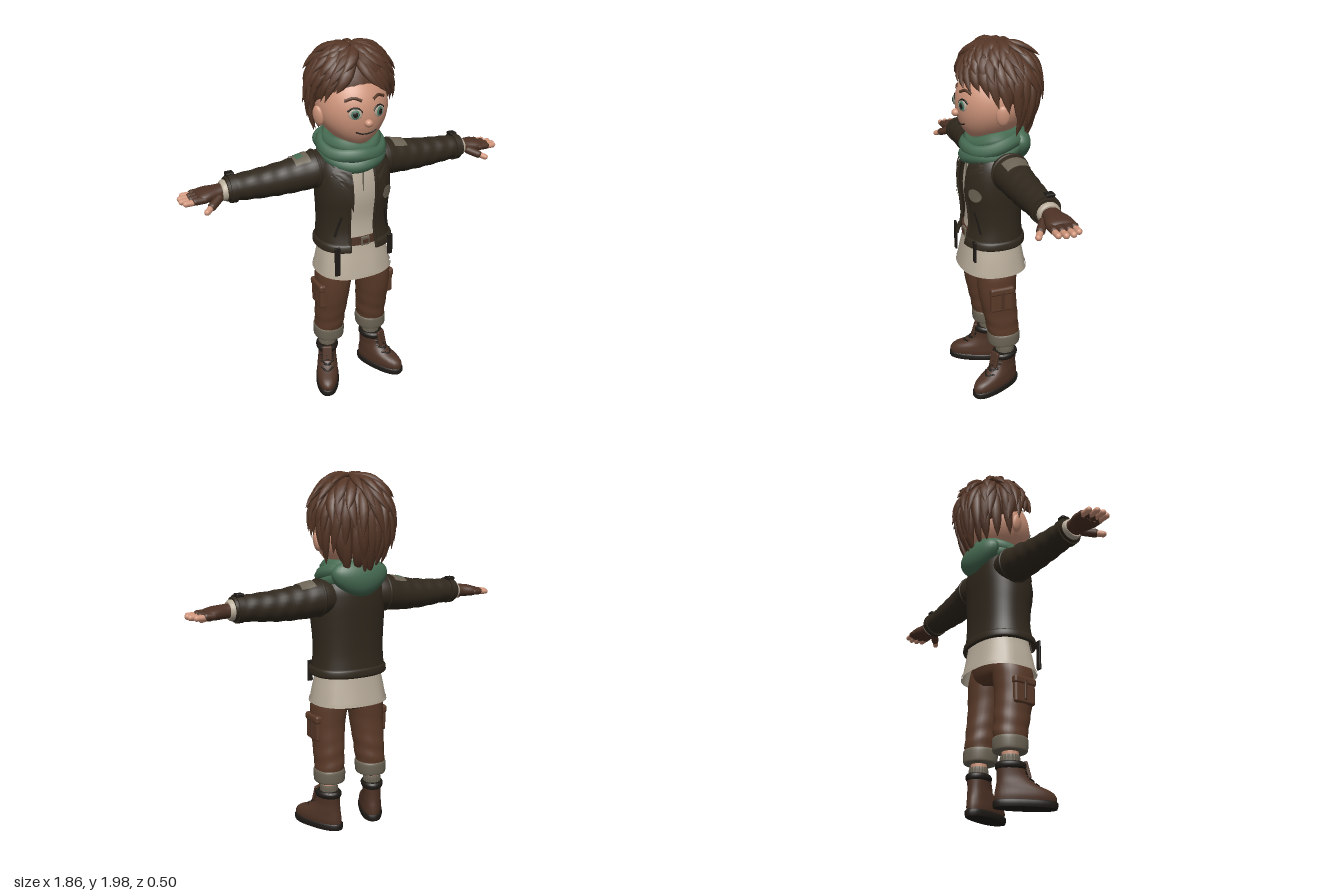
import * as THREE from 'three';
import { mergeGeometries } from 'three/addons/utils/BufferGeometryUtils.js';
import { RoundedBoxGeometry } from 'three/addons/geometries/RoundedBoxGeometry.js';

const V = (x, y, z) => new THREE.Vector3(x, y, z), TAU = Math.PI * 2;
const mat = (name, color, side = THREE.FrontSide) => Object.assign(new THREE.MeshStandardMaterial({ color, side }), { name });

// Surface through rows of points
function surface(rows, closed) {
  const cols = rows[0].length, idx = [];
  for (let j = 0; j < rows.length - 1; j++)
    for (let i = 0; i < (closed ? cols : cols - 1); i++) {
      const a = j * cols + i, b = j * cols + (i + 1) % cols;
      idx.push(a, b, b + cols, a, b + cols, a + cols);
    }
  const g = new THREE.BufferGeometry().setFromPoints(rows.flat());
  g.setIndex(idx);
  g.computeVertexNormals();
  return g;
}
// Rings are [height, centreX, centreZ, radiusX, radiusZ]; smooth() adds rings in between
function smooth(r, steps = 5) {
  const out = [];
  for (let i = 0; i < r.length - 1; i++)
    for (let s = 0; s < steps; s++) {
      const t = s / steps, a = r[Math.max(i - 1, 0)], c = r[i + 1], d = r[Math.min(i + 2, r.length - 1)];
      out.push(r[i].map((v, k) => v + 0.5 * t * (c[k] - a[k]
        + t * (2 * a[k] - 5 * v + 4 * c[k] - d[k] + t * (3 * v - a[k] - 3 * c[k] + d[k])))));
    }
  return [...out, r[r.length - 1]];
}
// Skin over stacked rings, closed or spanning an angle range measured from the front
function loft(rings, { n = 28, p = 1, from = 0, to = TAU, cap = false, fold = () => 1 } = {}) {
  const closed = to - from > 6.28, bend = v => Math.sign(v) * Math.abs(v) ** p;
  const first = rings[0], last = rings[rings.length - 1], tip = r => [r[0], r[1], r[2], 0, 0];
  const all = cap ? [tip(first), first, ...rings, last, tip(last)] : rings;
  return surface(all.map(([y, cx, cz, rx, rz]) => Array.from({ length: closed ? n : n + 1 }, (_, i) => {
    const a = from + (to - from) * i / n, f = fold(y, a);
    return V(cx + rx * f * bend(Math.sin(a)), y, cz + rz * f * bend(Math.cos(a)));
  })), closed);
}
function mirrored(geo) {
  const g = geo.clone().scale(-1, 1, 1);
  const ix = g.index ? [...g.index.array] : Array.from({ length: g.attributes.position.count }, (_, i) => i);
  for (let i = 0; i < ix.length; i += 3) [ix[i], ix[i + 1]] = [ix[i + 1], ix[i]];
  g.setIndex(ix);
  return g;
}
function warp(g, fn) {
  const p = g.attributes.position, v = V();
  for (let i = 0; i < p.count; i++) p.setXYZ(i, ...fn(v.fromBufferAttribute(p, i)));
  g.computeVertexNormals();
  return g;
}
const ball = (x, y, z, rx, ry, rz) => new THREE.SphereGeometry(1, 24, 16).scale(rx, ry, rz).translate(x, y, z);
const box = (x, y, z, w, h, d) => new RoundedBoxGeometry(w, h, d, 2, Math.min(w, h, d) * 0.3).translate(x, y, z);
const tube = (pts, r, closed = false, seg = 24) =>
  new THREE.TubeGeometry(new THREE.CatmullRomCurve3(pts.map(q => V(...q)), closed), seg, r, 8, closed);

export function createModel() {
  const model = new THREE.Group(), both = THREE.DoubleSide;
  const hairMat = mat('hair brown', 0x553626), skin = mat('skin', 0xd0967c), leather = mat('jacket leather', 0x30281d, both),
    green = mat('scarf green', 0x466b52), linen = mat('shirt linen', 0xb8ac9a, both), cloth = mat('trouser brown', 0x5a3a28),
    boot = mat('boot brown', 0x4d3225), canvas = mat('canvas grey', 0x6b6354, both), dark = mat('dark', 0x1e1a16), iris = mat('iris green', 0x4a7a66);
  const add = (name, geo, m) => model.add(Object.assign(new THREE.Mesh(geo, m), { name }));
  const pair = (name, geo, m) => { add('left ' + name, geo, m); add('right ' + name, mirrored(geo), m); };

  // Head: a ball with a narrowed, forward chin
  const face = (x, y) => {
    const k = (1.66 - y) / 0.205, low = Math.max(k, 0) ** 2, nx = x / (0.185 * (1 - 0.28 * low));
    return 0.03 + 0.03 * low + 0.19 * Math.sqrt(Math.max(0, 1 - k * k - nx * nx));
  };
  add('head', warp(new THREE.SphereGeometry(1, 40, 28), v => {
    const low = Math.max(-v.y, 0) ** 2;
    return [v.x * 0.185 * (1 - 0.28 * low), 1.66 + 0.205 * v.y, 0.03 + 0.03 * low + 0.19 * v.z];
  }), skin);
  add('neck', new THREE.CylinderGeometry(0.07, 0.08, 0.14, 20).translate(0, 1.45, 0.02), skin);
  add('nose', ball(0, 1.615, 0.224, 0.022, 0.02, 0.022), skin);
  pair('ear', ball(0, 0, 0, 0.02, 0.055, 0.036).rotateZ(-0.15).rotateY(-0.3).translate(0.188, 1.625, 0.035), skin);
  const eye = (rx, ry, lift) => ball(0, 0, 0, rx, ry, 0.006).rotateY(0.36).translate(0.066 + lift * 0.35, 1.665, face(0.066, 1.665) + lift);
  pair('eye white', eye(0.034, 0.028, 0.001), linen);
  pair('iris', eye(0.022, 0.024, 0.004), iris);
  pair('pupil', eye(0.013, 0.015, 0.007), dark);
  const onFace = (pts, r) => tube(pts.map(([x, y]) => [x, y, face(x, y)]), r);
  pair('upper eyelid', onFace([[0.032, 1.672], [0.05, 1.692], [0.075, 1.694], [0.1, 1.678]], 0.005), dark);
  pair('eyebrow', onFace([[0.03, 1.728], [0.065, 1.742], [0.108, 1.728]], 0.008), hairMat);
  add('mouth', onFace([[-0.058, 1.568], [-0.03, 1.556], [0, 1.553], [0.03, 1.556], [0.058, 1.568]], 0.004), dark);

  // Hair: a cap covered in rows of curved, tapering locks running down from the crown
  let seed = 7;
  const rnd = () => (seed = (seed * 16807) % 2147483647) / 2147483647;
  const scalp = (t, f, r) => V(0.195 * Math.sin(t) * Math.sin(f) * r,
    1.76 + (Math.cos(t) > 0 ? 0.205 : 0.3) * Math.cos(t) * r, -0.002 + 0.2 * Math.sin(t) * Math.cos(f) * r);
  const lock = (t0, t1, f, twist, flare, width) => {
    const at = k => scalp(t0 + (t1 - t0) * k, f + twist * k * k, 0.97 + 0.1 * Math.sin(k * 2.2) + flare * k * k * k);
    return surface(Array.from({ length: 8 }, (_, j) => {
      const k = j / 7, p = at(k), t = at(k + 0.02).sub(at(k - 0.02)).normalize();
      const side = p.clone().sub(V(0, 1.74, 0)).cross(t).normalize(), up = t.clone().cross(side);
      const w = width * (0.55 + 1.1 * k) * (1 - k ** 3) + 0.0005;
      return Array.from({ length: 7 }, (_, i) => p.clone().addScaledVector(side, w * Math.cos(i / 7 * TAU))
        .addScaledVector(up, w * 0.6 * Math.sin(i / 7 * TAU)));
    }), true);
  };
  const locks = [];
  [10, 16, 20, 24, 26].forEach((count, row) => {
    for (let i = 0; i < count; i++) {
      const f = (i + 0.5 * (row % 2) + 0.5 * rnd()) / count * TAU, c = Math.cos(f);
      const end = THREE.MathUtils.degToRad(118 - 30 * (c > 0 ? c ** 0.7 : c));
      const t1 = end * (0.42 + 0.145 * row) + (rnd() - 0.5) * 0.16;
      const sweep = c > 0.2 ? 0.45 * Math.sign(Math.sin(f) + 0.15) * (1 - 0.6 * Math.abs(Math.sin(f))) : (rnd() - 0.5) * 0.4;
      locks.push(lock(Math.max(0.04, t1 - 0.95), t1, f, sweep, (c > 0.5 ? 0.03 : 0.1) + 0.13 * rnd(), 0.024 + 0.01 * rnd()));
    }
  });
  // Loose tufts at the top and sides
  locks.push(lock(0.1, 1.2, 1.5, 0.2, 0.32, 0.03), lock(0.3, 1.45, 1.4, 0.2, 0.38, 0.03), lock(0.4, 1.75, -1.5, -0.1, 0.28, 0.03),
    lock(0.1, 0.9, -1.1, -0.3, 0.16, 0.026), lock(0.5, 1.5, 3.3, 0.2, 0.24, 0.03));
  add('hair locks', mergeGeometries(locks), hairMat);
  add('hair cap', ball(0, 1.755, -0.02, 0.192, 0.2, 0.195), hairMat);

  // Scarf folds and hood hanging behind
  [[0.145, 0.142, 1.375, 1.45], [0.148, 0.138, 1.42, 1.48], [0.12, 0.112, 1.455, 1.51]].forEach(([rx, rz, front, back], n) =>
    add('scarf fold ' + (n + 1), tube(Array.from({ length: 16 }, (_, i) => {
      const a = i / 16 * TAU, y = back + (front - back) * (1 + Math.cos(a)) / 2;
      return [rx * Math.sin(a), y + 0.008 * Math.sin(3 * a + 2 * n), 0.025 + rz * Math.cos(a)];
    }), 0.041, true, 64), green));
  add('hood', warp(new THREE.SphereGeometry(1, 32, 20), v => [v.x * 0.16 * (1 + 0.3 * v.y), 1.43 + 0.105 * v.y, -0.09 + 0.08 * v.z]), green);

  // Shirt and belt
  add('shirt', loft(smooth([[0.735, 0, 0.037, 0.215, 0.182], [0.82, 0, 0.037, 0.2, 0.166], [0.92, 0, 0.035, 0.18, 0.148],
    [1.05, 0, 0.035, 0.172, 0.132], [1.2, 0, 0.04, 0.172, 0.138], [1.34, 0, 0.03, 0.15, 0.125], [1.45, 0, 0.02, 0.08, 0.08]]),
  { n: 40, p: 0.85, fold: (y, a) => 1 + 0.06 * Math.max(0, 0.95 - y) * Math.sin(a * 9) }), linen);
  add('shirt hem', loft([[0.733, 0, 0.037, 0.219, 0.186], [0.752, 0, 0.037, 0.216, 0.183]], { n: 40, p: 0.85 }), linen);
  add('shirt placket', box(0, 1.26, 0.172, 0.006, 0.16, 0.008), canvas);
  add('belt', loft([[0.922, 0, 0.035, 0.184, 0.156], [0.965, 0, 0.035, 0.181, 0.153]], { n: 40, p: 0.85, cap: true }), boot);
  add('belt buckle', box(0.005, 0.943, 0.19, 0.05, 0.05, 0.012), canvas);
  add('buckle centre', box(0.005, 0.943, 0.194, 0.03, 0.028, 0.012), boot);

  // Open jacket with edges, lapels, pockets and hanging straps
  const torso = smooth([[0.895, 0, 0.042, 0.212, 0.17], [1.0, 0, 0.034, 0.2, 0.152], [1.1, 0, 0.036, 0.2, 0.154],
    [1.2, 0, 0.04, 0.206, 0.162], [1.3, 0, 0.033, 0.205, 0.16], [1.38, 0, 0.02, 0.19, 0.14], [1.46, 0, 0.01, 0.12, 0.1]]);
  const open = { n: 48, p: 0.85, from: 0.26, to: TAU - 0.36 };
  add('jacket body', loft(torso, open), leather);
  add('jacket hem', loft(smooth([[0.89, 0, 0.042, 0.208, 0.166], [0.9, 0, 0.042, 0.219, 0.177], [0.93, 0, 0.04, 0.216, 0.173], [0.94, 0, 0.038, 0.205, 0.162]]), open), leather);
  for (const [side, s, a] of [['left', 1, open.from], ['right', -1, TAU - open.to]])
    add(side + ' jacket edge', tube(torso.map(([y, , cz, rx, rz]) =>
      [s * rx * Math.sin(a) ** 0.85, y, cz + rz * Math.cos(a) ** 0.85]), 0.008, false, 40), leather);
  const onJacket = (x, y, lift) => {
    const r = torso.find(q => q[0] >= y), s = (Math.abs(x) / r[3]) ** (1 / 0.85);
    return [x, y, r[2] + r[4] * Math.max(0, 1 - s * s) ** 0.425 + lift];
  };
  const drape = (c, lift) => warp(new THREE.PlaneGeometry(1, 1, 8, 8), v => {
    const u = v.x + 0.5, w = 0.5 - v.y, mix = THREE.MathUtils.lerp;
    const at = k => mix(mix(c[0][k], c[1][k], u), mix(c[3][k], c[2][k], u), w);
    return onJacket(at(0), at(1), lift);
  });
  pair('upper lapel', drape([[0.07, 1.4], [0.15, 1.38], [0.17, 1.33], [0.075, 1.29]], 0.016), leather);
  pair('lower lapel', drape([[0.07, 1.32], [0.135, 1.31], [0.12, 1.24], [0.07, 1.13]], 0.012), leather);
  pair('pocket slit', drape([[0.12, 1.1], [0.132, 1.1], [0.162, 0.98], [0.15, 0.98]], 0.007), dark);
  add('chest patch', warp(new THREE.CircleGeometry(0.036, 24), v => onJacket(v.x + 0.14, v.y + 1.2, 0.009)), canvas);
  add('right hanging strap', box(-0.16, 0.85, 0.19, 0.03, 0.17, 0.012), dark);
  add('left hanging strap', box(0.16, 0.885, 0.185, 0.03, 0.12, 0.012), dark);

  // Sleeves and shoulder patches, lofted upright then laid along x
  const lay = g => g.rotateZ(-Math.PI / 2);
  const arm = smooth([[0.12, -1.33, 0, 0.085, 0.09], [0.2, -1.328, 0, 0.098, 0.1], [0.3, -1.315, 0, 0.093, 0.09],
    [0.45, -1.305, 0, 0.082, 0.08], [0.6, -1.306, 0.004, 0.07, 0.071], [0.69, -1.307, 0.005, 0.062, 0.066]], 10);
  const fold = (y, a) => 1 + 0.022 * Math.sin(y * 75 + 2 * Math.sin(a * 2)) * Math.min(1, Math.max(0, (y - 0.15) * 4));
  const patch = (x0, x1, half, d) => lay(loft(arm.filter(r => r[0] > x0 && r[0] < x1).map(([y, x, z, a, b]) => [y, x, z, a + d, b + d]),
    { n: 12, from: -Math.PI / 2 - half, to: -Math.PI / 2 + half, fold }));
  pair('sleeve', lay(loft(arm, { cap: true, fold })), leather);
  pair('shoulder patch', patch(0.245, 0.335, 0.72, 0.006), canvas);
  add('green shoulder mend', mirrored(patch(0.275, 0.32, 0.33, 0.009)), green);
  pair('sleeve seam', lay(new THREE.TorusGeometry(0.097, 0.008, 8, 28).rotateX(Math.PI / 2).translate(-1.328, 0.205, 0)), leather);
  pair('sleeve strap', lay(loft([[0.642, -1.307, 0.005, 0.074, 0.076], [0.675, -1.307, 0.005, 0.073, 0.075]], { cap: true })), leather);
  pair('strap buckle', box(0.658, 1.379, -0.015, 0.042, 0.018, 0.045), dark);
  pair('shirt cuff', lay(loft([[0.68, -1.304, 0.003, 0.054, 0.058], [0.705, -1.303, 0.003, 0.053, 0.057], [0.714, -1.302, 0.003, 0.045, 0.05]], { cap: true })), linen);

  // Gloved hands with bare fingertips
  pair('glove', lay(loft(smooth([[0.7, -1.302, 0, 0.038, 0.044], [0.74, -1.3, 0, 0.036, 0.05], [0.79, -1.297, -0.003, 0.034, 0.066],
    [0.825, -1.294, -0.004, 0.028, 0.068], [0.84, -1.293, -0.004, 0.018, 0.06]]), { p: 0.9, cap: true })), boot);
  const finger = (x0, x1, y, z, r) => new THREE.CapsuleGeometry(r, x1 - x0 - 2 * r, 5, 12).rotateZ(Math.PI / 2).translate((x0 + x1) / 2, y, z);
  [[-0.056, 0.91], [-0.021, 0.93], [0.015, 0.932], [0.048, 0.92]].forEach(([z, tip], i) => {
    pair('glove finger ' + (i + 1), finger(0.79, tip - 0.045, 1.292, z, 0.0195), boot);
    pair('fingertip ' + (i + 1), finger(0.83, tip, 1.288, z, 0.0155), skin);
  });
  const thumb = g => g.rotateZ(-0.35).rotateY(-0.62).translate(0.735, 1.285, 0.045);
  pair('glove thumb', thumb(finger(-0.02, 0.085, 0, 0, 0.022)), boot);
  pair('thumb tip', thumb(finger(0.04, 0.122, 0, 0, 0.016)), skin);

  // Trousers with cargo pockets and rolled cuffs
  add('trouser seat', loft(smooth([[0.69, 0, 0.04, 0.13, 0.08], [0.73, 0, 0.04, 0.185, 0.115], [0.82, 0, 0.035, 0.18, 0.125], [0.93, 0, 0.035, 0.165, 0.12]]), { cap: true }), cloth);
  pair('trouser leg', loft(smooth([[0.3, 0.135, 0.01, 0.072, 0.08], [0.37, 0.134, 0.014, 0.08, 0.09], [0.46, 0.131, 0.026, 0.084, 0.096],
    [0.6, 0.126, 0.045, 0.093, 0.105], [0.72, 0.116, 0.045, 0.1, 0.11], [0.8, 0.1, 0.04, 0.085, 0.1]], 8),
  { cap: true, p: 0.92, fold: (y, a) => 1 + 0.022 * Math.sin(y * 70 + 2 * Math.sin(a)) * Math.max(0.15, 1 - Math.abs(y - 0.4) * 5) }), cloth);
  pair('trouser cuff', loft(smooth([[0.28, 0.136, 0.01, 0.074, 0.08], [0.29, 0.136, 0.01, 0.084, 0.09], [0.345, 0.135, 0.011, 0.086, 0.092], [0.358, 0.135, 0.012, 0.076, 0.084]]), { cap: true, p: 0.92 }), canvas);
  pair('cargo pocket', box(0.204, 0.59, 0.048, 0.045, 0.13, 0.13), cloth);
  pair('pocket flap', box(0.207, 0.65, 0.048, 0.05, 0.045, 0.138), cloth);
  pair('pocket strap', box(0.21, 0.6, 0.048, 0.046, 0.11, 0.018), boot);

  // Ankles, socks and out-turned boots
  pair('ankle', new THREE.CylinderGeometry(0.044, 0.042, 0.1, 20).translate(0.143, 0.27, 0.005), skin);
  pair('sock', loft([[0.19, 0.143, 0.004, 0.046, 0.048], [0.245, 0.143, 0.004, 0.05, 0.052], [0.262, 0.143, 0.004, 0.046, 0.048]],
    { n: 80, cap: true, fold: (y, a) => 1 + 0.03 * Math.sin(a * 20) }), canvas);
  const foot = g => g.rotateY(0.42).translate(0.142, 0, 0);
  pair('boot upper', foot(loft(smooth([[0.025, 0, 0.078, 0.058, 0.155], [0.055, 0, 0.08, 0.062, 0.157], [0.085, 0, 0.07, 0.06, 0.143],
    [0.115, 0, 0.038, 0.056, 0.105], [0.15, 0, 0.018, 0.052, 0.082], [0.19, 0, 0.01, 0.054, 0.074], [0.222, 0, 0.008, 0.058, 0.074]]), { p: 0.9, cap: true })), boot);
  pair('boot sole', foot(loft([[0, 0, 0.078, 0.062, 0.16], [0.012, 0, 0.079, 0.066, 0.164], [0.03, 0, 0.079, 0.066, 0.164], [0.036, 0, 0.079, 0.06, 0.158]], { p: 0.85, cap: true })), dark);
  pair('boot collar', foot(loft(smooth([[0.19, 0, 0.008, 0.057, 0.076], [0.2, 0, 0.008, 0.063, 0.08], [0.215, 0, 0.008, 0.064, 0.08], [0.226, 0, 0.008, 0.056, 0.072]]), { cap: true })), dark);
  pair('boot tongue', foot(box(0, 0, 0, 0.055, 0.09, 0.02).rotateX(-0.25).translate(0, 0.19, 0.088)), boot);
  pair('boot laces', foot(mergeGeometries([[0.105, 0.148], [0.13, 0.118], [0.155, 0.1], [0.18, 0.092]].flatMap(([y, z]) => [-1, 1].map(s =>
    tube([[-0.036 * s, y - 0.006, z - 0.024], [0, y + 0.004, z + 0.004], [0.036 * s, y + 0.014, z - 0.028]], 0.005, false, 10))))), dark);
  return model;
}
